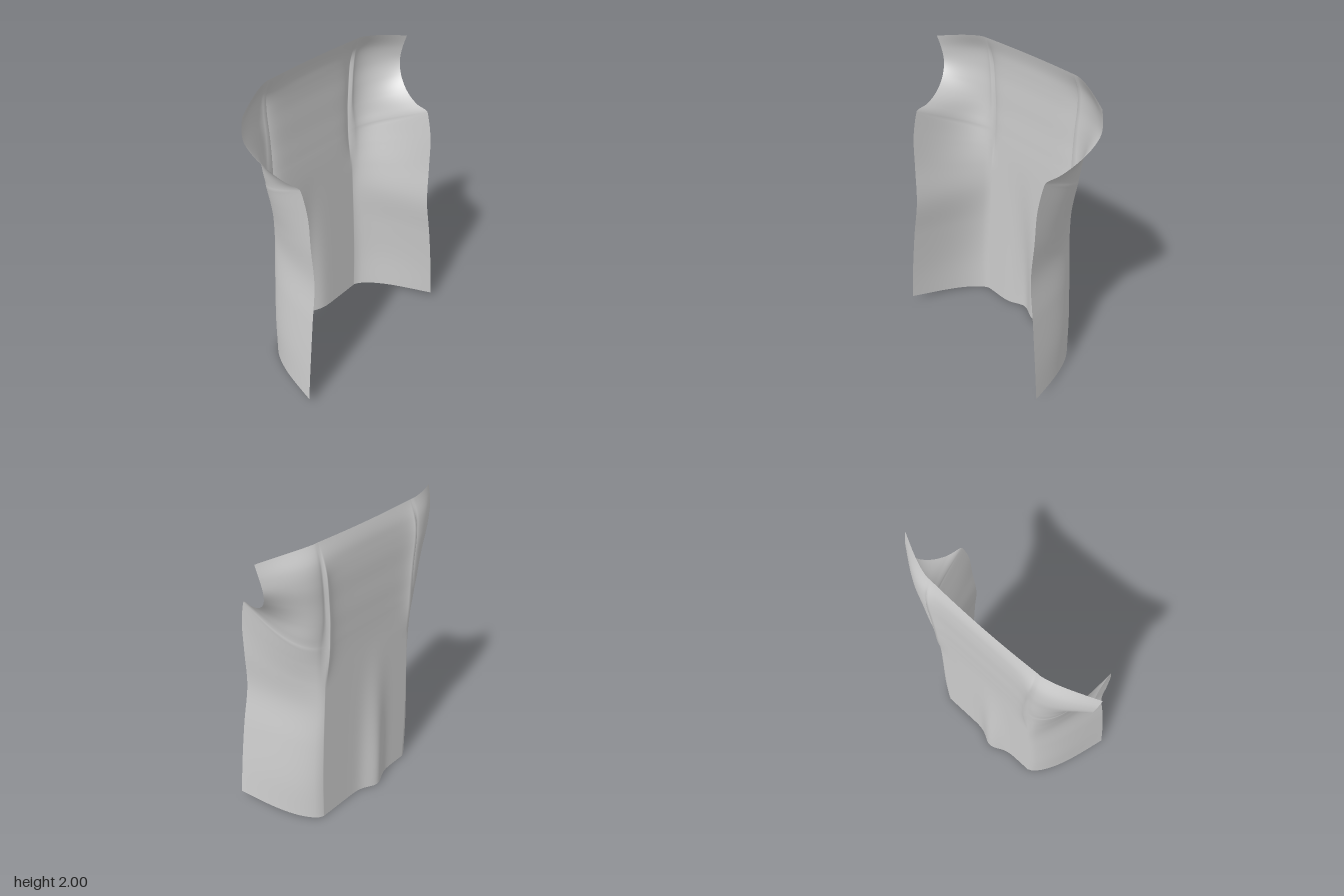
import * as THREE from 'three';

// Side panel from shoulder to hem: point on the seam, point on the front edge,
// and how far the cloth bulges outward between them
const ROWS = [
  [[0.37, 2.0, -0.2], [0.69, 1.95, -0.075], 0.016],
  [[0.375, 1.9, -0.23], [0.682, 1.86, -0.1], 0.03],
  [[0.37, 1.78, -0.24], [0.67, 1.78, -0.105], 0.036],
  [[0.36, 1.64, -0.24], [0.645, 1.7, -0.07], 0.042],
  [[0.355, 1.53, -0.24], [0.615, 1.63, 0], 0.056],
  [[0.355, 1.44, -0.238], [0.588, 1.58, 0.1], 0.075],
  [[0.356, 1.37, -0.237], [0.573, 1.566, 0.193], 0.085],
  [[0.357, 1.33, -0.236], [0.571, 1.55, 0.203], 0.083],
  [[0.36, 1.24, -0.235], [0.565, 1.4, 0.24], 0.07],
  [[0.367, 1.1, -0.235], [0.56, 1.18, 0.25], 0.045],
  [[0.377, 0.9, -0.235], [0.552, 0.92, 0.262], 0.03],
  [[0.39, 0.63, -0.235], [0.592, 0.64, 0.275], 0.04],
  [[0.4, 0.3, -0.235], [0.632, 0.32, 0.285], 0.05],
  [[0.4, 0, -0.235], [0.66, 0.05, 0.29], 0.05],
];
const DOWN = 104, SIDE = 24, MID = 60;
const smooth = THREE.MathUtils.smoothstep;
const spline = (points) => new THREE.CatmullRomCurve3(points, false, 'centripetal');

// Point on the side panel; u runs 0..1 from the seam to the front edge
function sidePoint(u, seam, edge, bulge) {
  const p = seam.clone().lerp(edge, u);
  const dx = edge.x - seam.x, dz = edge.z - seam.z;
  const out = bulge * Math.sin(Math.PI * u ** 0.65) / Math.hypot(dx, dz);
  p.x += dz * out;
  p.z -= dx * out;
  p.y = THREE.MathUtils.lerp(seam.y, edge.y, u ** 1.4);
  return p;
}

// Point on the centre panel; s runs -1..1 between the two seams
function centrePoint(s, seam) {
  const x = s * seam.x, y = seam.y;
  // raised seam edge, fading out at the shoulder and below the dart
  const ridge = 0.026 * smooth(y, 1.05, 1.35) * (1 - smooth(y, 1.8, 2));
  const edge = Math.exp(-(1 - Math.abs(s)) * 9);
  // hanging fold in the lower back
  const fold = 0.057 * (1 - smooth(y, 0, 1.25)) * Math.exp(-(((x + 0.07) / 0.09) ** 2));
  // slight hollow of the shoulder line
  const arch = 0.01 * smooth(y, 1.85, 2) * (1 - s * s);
  return new THREE.Vector3(x, y, seam.z - ridge * edge - fold - arch);
}

// One full row across: right side, centre, left side
function rowPoints(seam, edge, bulge) {
  const left = [], centre = [];
  for (let i = 0; i <= SIDE; i++) left.push(sidePoint(i / SIDE, seam, edge, bulge));
  for (let i = 0; i <= MID; i++) centre.push(centrePoint((i / MID * 2 - 1) * 0.985, seam));
  const right = left.map((p) => new THREE.Vector3(-p.x, p.y, p.z)).reverse();
  return [...right, ...centre, ...left];
}

export function createModel() {
  const group = new THREE.Group();
  group.name = 'garmentBack';

  // Curves running down the cloth
  const seam = spline(ROWS.map((r) => new THREE.Vector3(...r[0])));
  const edge = spline(ROWS.map((r) => new THREE.Vector3(...r[1])));
  const bulge = spline(ROWS.map((r, i) => new THREE.Vector3(r[2], i, 0)));

  const positions = [], index = [];
  const width = 2 * (SIDE + 1) + MID + 1;
  for (let j = 0; j <= DOWN; j++) {
    const t = j / DOWN;
    for (const p of rowPoints(seam.getPoint(t), edge.getPoint(t), bulge.getPoint(t).x)) {
      positions.push(p.x, p.y, p.z);
    }
  }
  for (let j = 0; j < DOWN; j++) {
    for (let i = 0; i < width - 1; i++) {
      const a = j * width + i, b = a + 1, c = a + width, d = c + 1;
      index.push(a, b, c, b, d, c);
    }
  }

  // Draped cloth panel, outside facing the back
  const geometry = new THREE.BufferGeometry();
  geometry.setAttribute('position', new THREE.Float32BufferAttribute(positions, 3));
  geometry.setIndex(index);
  geometry.computeVertexNormals();
  const cloth = new THREE.Mesh(geometry, new THREE.MeshStandardMaterial({
    color: 0xcccccc, side: THREE.DoubleSide,
  }));
  cloth.name = 'backPanel';
  group.add(cloth);
  return group;
}
